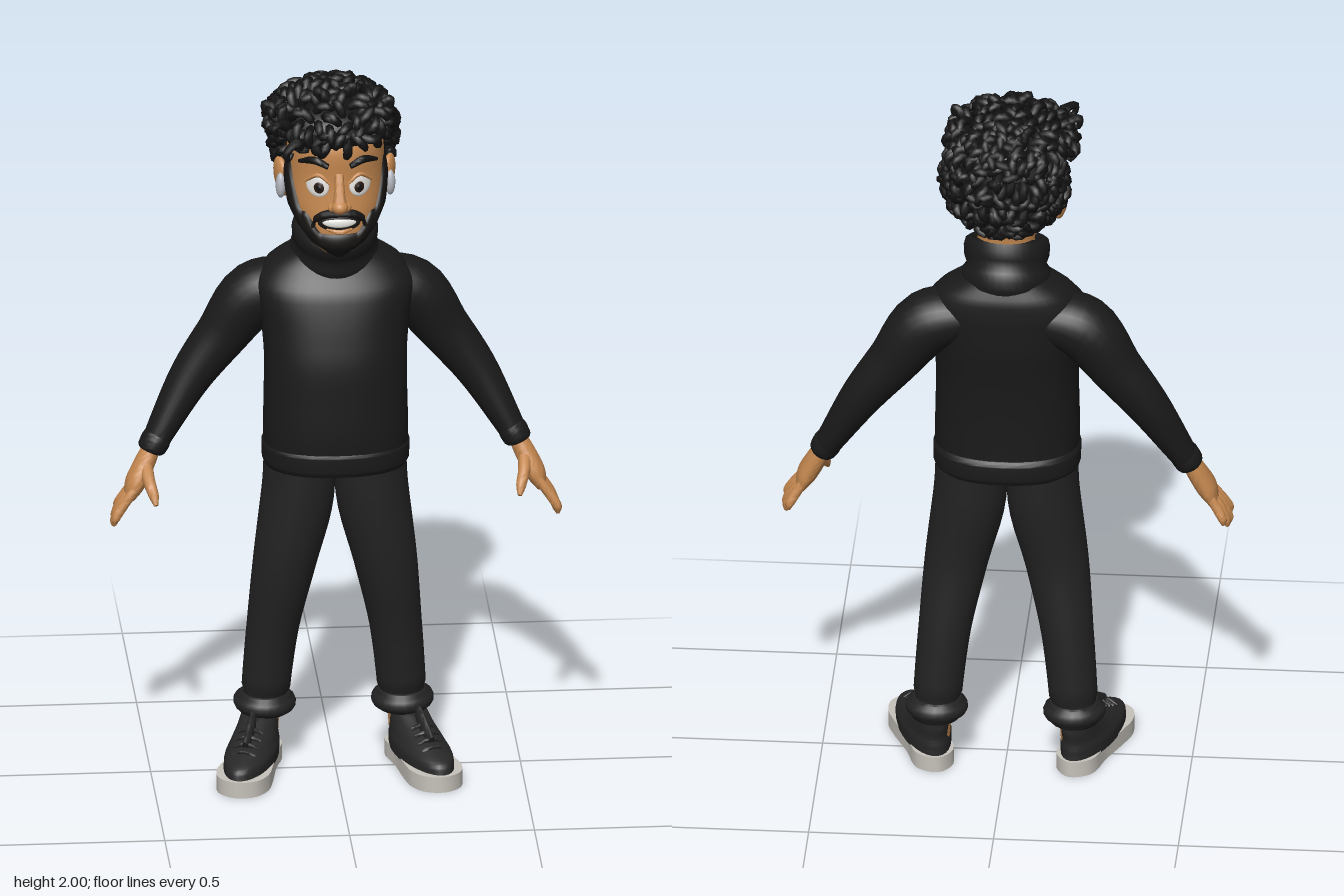
import * as THREE from 'three';
import { mergeGeometries, toCreasedNormals } from 'three/addons/utils/BufferGeometryUtils.js';

const V = (x, y, z) => new THREE.Vector3(x, y, z);
const paint = (name, color) => Object.assign(new THREE.MeshStandardMaterial({ color }), { name });

// Smooth closed loft through rows [x, y, z, radiusA, radiusB]; "flat" keeps every section horizontal.
function loft(rows, { flat = false, p = 1, n = 24, steps = 5 } = {}) {
  const path = new THREE.CatmullRomCurve3(rows.map(r => V(r[0], r[1], r[2])));
  const radii = new THREE.CatmullRomCurve3(rows.map(r => V(r[3], r[4], 0)));
  const span = path.getPoint(1).sub(path.getPoint(0)).normalize();
  const ref = Math.abs(span.z) > 0.75 ? V(1, 0, 0) : V(0, 0, 1);
  const pos = [], idx = [], m = (rows.length - 1) * steps;
  const bend = v => Math.sign(v) * Math.pow(Math.abs(v), p);
  for (let i = 0; i <= m; i++) {
    const c = path.getPoint(i / m), r = radii.getPoint(i / m);
    const t = flat ? V(0, 1, 0) : path.getTangent(i / m);
    const b = ref.clone().addScaledVector(t, -t.dot(ref)).normalize();
    const a = b.clone().cross(t);
    for (let j = 0; j < n; j++) {
      const q = j / n * Math.PI * 2;
      const v = c.clone().addScaledVector(a, r.x * bend(Math.cos(q))).addScaledVector(b, r.y * bend(Math.sin(q)));
      pos.push(v.x, v.y, v.z);
      if (i < m) {
        const k = i * n + j, l = i * n + (j + 1) % n;
        idx.push(k, l, l + n, k, l + n, k + n);
      }
    }
  }
  const e = pos.length / 3;
  for (const u of [0, 1]) pos.push(...path.getPoint(u).toArray());
  for (let j = 0; j < n; j++) {
    const l = (j + 1) % n;
    idx.push(e, l, j, e + 1, m * n + j, m * n + l);
  }
  const g = new THREE.BufferGeometry();
  g.setAttribute('position', new THREE.Float32BufferAttribute(pos, 3));
  g.setIndex(idx);
  g.computeVertexNormals();
  return g;
}

// Head cross-sections [y, centreZ, halfWidth, halfDepth]
const headRows = [[1.54, .075, .045, .05], [1.57, .062, .078, .078], [1.61, .045, .103, .1], [1.66, .03, .121, .112],
  [1.74, 0, .131, .134], [1.83, -.01, .13, .146], [1.9, -.02, .11, .125], [1.94, -.02, .06, .07]];
function headAt(y) {
  let i = 0;
  while (i < headRows.length - 2 && y > headRows[i + 1][0]) i++;
  const [a, b] = [headRows[i], headRows[i + 1]];
  const t = THREE.MathUtils.clamp((y - a[0]) / (b[0] - a[0]), 0, 1);
  return a.map((v, k) => v + (b[k] - v) * t);
}
function faceZ(x, y) {
  const [, cz, rx, rz] = headAt(y);
  return cz + rz * Math.sqrt(Math.max(0, 1 - (x / rx) ** 2));
}

export function createModel() {
  const root = new THREE.Group();
  root.name = 'manInRollneck';
  const skin = paint('skin', 0xc58850), sweater = paint('sweaterBlack', 0x1a1a1a), trouser = paint('trouserBlack', 0x232323);
  const hair = paint('hairBlack', 0x131313), shoe = paint('shoeBlack', 0x272727), sole = paint('soleGrey', 0xc6c2bb);
  const white = paint('white', 0xe8e6e2), iris = paint('irisBrown', 0x2b1a12), grey = paint('earpieceGrey', 0xb4b7be);
  const beardMat = paint('beardBlack', 0x171514);
  beardMat.side = THREE.DoubleSide;

  const add = (name, geo, mat, parent = root) => {
    const mesh = new THREE.Mesh(geo, mat);
    mesh.name = name;
    parent.add(mesh);
    return mesh;
  };
  const limb = (name, rows, mat, opt, parent) => add(name, toCreasedNormals(loft(rows, opt), 1), mat, parent);
  const ball = (name, mat, p, s) => {
    const mesh = add(name, new THREE.SphereGeometry(1, 24, 16), mat);
    mesh.position.set(...p);
    mesh.scale.set(...s);
    return mesh;
  };

  // Sweater body, hem and folded roll collar
  limb('sweaterBody', [[0, .9, -.002, .192, .143], [0, 1, .002, .196, .147], [0, 1.1, 0, .194, .148], [0, 1.2, -.006, .193, .15],
    [0, 1.3, -.022, .2, .147], [0, 1.4, -.038, .215, .134], [0, 1.46, -.055, .18, .112], [0, 1.51, -.055, .1, .09]],
  sweater, { flat: true, p: .86, n: 40 });
  limb('sweaterHem', [[0, .895, -.004, .192, .145], [0, .91, -.004, .199, .152], [0, .95, -.003, .2, .153], [0, .965, -.002, .193, .146]],
    sweater, { flat: true, p: .86, n: 40 });
  const collarProfile = [[.1, -.095], [.117, -.075], [.122, -.05], [.119, -.025], [.108, -.01], [.115, .01], [.117, .035],
    [.112, .055], [.1, .063], [.088, .055], [.08, .01]].map(q => new THREE.Vector2(...q));
  const collar = add('rollCollar', new THREE.LatheGeometry(collarProfile, 40), sweater);
  collar.position.set(0, 1.53, -.03);
  collar.rotation.x = .34;
  collar.scale.z = .98;

  // Head, neck and nose
  limb('neck', [[0, 1.48, -.045, .085, .08], [0, 1.6, -.045, .078, .068], [0, 1.72, -.05, .085, .08]], skin, { flat: true });
  limb('head', headRows.map(([y, z, a, b]) => [0, y, z, a, b]), skin, { flat: true, n: 40 });
  limb('noseBridge', [[0, 1.775, .128, .012, .012], [0, 1.73, .142, .014, .016], [0, 1.69, .153, .02, .02]], skin);
  ball('noseTip', skin, [0, 1.688, .154], [.023, .02, .026]);

  // Beard: a shell following the jaw, rising to the sideburns
  const beard = new THREE.PlaneGeometry(1, 1, 64, 14), bp = beard.attributes.position;
  const ease = THREE.MathUtils.smoothstep;
  for (let i = 0; i < bp.count; i++) {
    const phi = bp.getX(i) * 2 * 1.53, v = bp.getY(i) + .5, f = Math.abs(phi);
    const top = 1.606 + .055 * ease(f, .5, .85) + .13 * ease(f, .95, 1.3);
    const low = 1.53 + .065 * (f / 1.53) ** 2, y = low + (top - low) * v;
    const [, cz, rx, rz] = headAt(y);
    const off = .016 * Math.sqrt(Math.max(0, Math.sin(Math.PI * v))) - .003;
    bp.setXYZ(i, (rx + off) * Math.sin(phi), y, cz + (rz + off) * Math.cos(phi));
  }
  beard.computeVertexNormals();
  add('beard', beard, beardMat);

  // Features laid on the face surface
  const patch = (name, mat, cx, cy, w, h, off, depth) => {
    const g = new THREE.SphereGeometry(1, 24, 14), a = g.attributes.position;
    for (let i = 0; i < a.count; i++) {
      const x = cx + w * a.getX(i), y = cy + h * a.getY(i);
      a.setXYZ(i, x, y, faceZ(x, y) + off + depth * a.getZ(i));
    }
    g.computeVertexNormals();
    add(name, g, mat);
  };
  const strip = (name, mat, pts, off = .003) =>
    limb(name, pts.map(([x, y, r]) => [x, y, faceZ(x, y) + off, r, r]), mat, { n: 10 });
  patch('mouth', beardMat, 0, 1.634, .058, .021, .001, .004);
  patch('teeth', white, 0, 1.637, .046, .012, .004, .005);
  strip('lowerLip', skin, [[-.035, 1.62, .003], [0, 1.613, .007], [.035, 1.62, .003]], .006);
  for (const s of [-1, 1]) {
    strip('moustache', beardMat, [[0, 1.662, .008], [s * .035, 1.662, .012], [s * .062, 1.645, .01], [s * .074, 1.612, .01]]);
    patch('eyeWhite', white, s * .057, 1.738, .03, .031, 0, .009);
    patch('iris', iris, s * .055, 1.736, .015, .017, .005, .007);
    patch('pupil', hair, s * .055, 1.736, .008, .009, .009, .005);
    strip('upperLid', skin, [[s * .026, 1.75, .004], [s * .055, 1.772, .006], [s * .09, 1.748, .004]], .006);
    strip('eyebrow', hair, [[s * .03, 1.798, .008], [s * .065, 1.812, .011], [s * .105, 1.797, .005]], .004);
    ball('nostril', skin, [s * .019, 1.683, .144], [.013, .013, .015]);
    const ear = ball('ear', skin, [s * .143, 1.712, -.025], [.018, .056, .036]);
    ear.rotation.set(-.15, -s * .35, -s * .15);
    ball('earpiece', grey, [s * .148, 1.695, .0], [.014, .036, .018]);
  }

  // Curly hair: two base volumes covered in curled tufts
  let seed = 7;
  const rnd = () => (seed = (seed * 16807) % 2147483647) / 2147483647;
  const tufts = [];
  const volumes = [
    { c: V(-.012, 1.883, -.012), r: V(.155, .08, .16), count: 210, ok: q => q.y > 1.862 },
    { c: V(0, 1.808, -.088), r: V(.15, .145, .108), count: 300, ok: q => q.z < -.065 || (q.y > 1.79 && q.z < .02) },
  ];
  for (const { c, r, count, ok } of volumes) {
    ball('hairBase', hair, c.toArray(), r.toArray());
    for (let i = 0; i < count; i++) {
      const y = 1 - 2 * (i + .5) / count, w = Math.sqrt(1 - y * y), q = i * 2.39996;
      const u = V(w * Math.cos(q), y, w * Math.sin(q)), p = u.clone().multiply(r).add(c);
      if (!ok(p)) continue;
      const n = u.clone().divide(r).normalize();
      const d = V(rnd() - .5, rnd() - .7, rnd() - .75);
      d.addScaledVector(n, -d.dot(n)).normalize();
      const k = .8 + rnd() * .4;
      const at = (out, along, rad) => [...p.clone().addScaledVector(n, out * k).addScaledVector(d, along * k).toArray(), rad, rad];
      tufts.push(loft([at(-.012, -.01, .011), at(.013, .004, .013), at(.018, .026, .012), at(.005, .042, .008)], { n: 6, steps: 2 }));
    }
  }
  // Loose curls: fringe lock, crown springs and a side curl
  const locks = [[-.1, 1.875, .135, -1, -.8, .5], [-.13, 1.9, .1, -1, .2, .8], [.02, 1.95, .02, .6, .7, .2], [-.02, 1.95, .05, -.8, .7, .1],
    [-.15, 1.91, .02, -1, .5, 0], [.12, 1.92, .03, .6, .5, .2], [-.03, 1.88, .14, -.9, -.5, .3], [.05, 1.885, .125, -.8, -.2, .6]];
  for (const [x, y, z, dx, dy, dz] of locks) {
    const at = (k, lift, rad) => [x + dx * k, y + dy * k + lift, z + dz * k, rad, rad];
    tufts.push(loft([at(0, 0, .012), at(.025, .014, .012), at(.045, .008, .01), at(.04, -.014, .008), at(.026, -.008, .004)], { n: 7, steps: 3 }));
  }
  add('hairCurls', mergeGeometries(tufts), hair);

  for (const s of [-1, 1]) {
    const side = (name, rows, mat, opt) => limb(name, rows.map(([x, ...q]) => [s * x, ...q]), mat, opt);

    // Sleeve, cuff and hand
    side('sleeve', [[.11, 1.385, -.07, .07, .085], [.21, 1.353, -.078, .087, .09], [.303, 1.232, -.082, .071, .07],
      [.385, 1.12, -.074, .058, .06], [.46, .99, -.05, .042, .049], [.495, .925, -.035, .034, .042]], sweater, { n: 28 });
    side('sleeveCuff', [[.476, .962, -.042, .037, .045], [.484, .948, -.039, .04, .047], [.495, .928, -.035, .038, .045], [.498, .921, -.034, .033, .04]], sweater);
    side('palm', [[.493, .935, -.032, .024, .028], [.515, .89, -.022, .028, .037], [.54, .84, -.01, .028, .046], [.558, .8, -.007, .016, .041]], skin);
    const fingers = [[.026, .04, .6, .737], [.004, .01, .601, .722], [-.018, -.022, .597, .726], [-.037, -.052, .588, .745]];
    for (const [z0, z1, x, y] of fingers)
      side('finger', [[.545, .83, z0, .013, .012], [(.558 + x) / 2, .785, (z0 + z1) / 2, .014, .0125], [x - .002, y + .016, z1, .012, .011], [x, y, z1, .005, .005]], skin, { n: 10 });
    side('thumb', [[.512, .89, -.005, .018, .018], [.508, .862, .035, .017, .017], [.497, .83, .07, .014, .014], [.492, .808, .088, .006, .006]], skin, { n: 10 });

    // Trouser leg with turned-up hem, and ankle
    side('trouserLeg', [[.096, .94, -.02, .096, .108], [.1, .8, -.02, .099, .106], [.136, .6, -.02, .086, .09], [.166, .4, -.048, .071, .078],
      [.183, .22, -.066, .066, .07], [.187, .15, -.07, .066, .07]], trouser, { n: 28 });
    side('trouserHem', [[.186, .2, -.068, .066, .07], [.186, .192, -.068, .071, .074], [.187, .15, -.07, .071, .074], [.187, .143, -.07, .066, .069]], trouser);
    side('ankle', [[.19, .08, -.07, .04, .045], [.188, .17, -.072, .044, .048]], skin);

    // Shoe, turned outward
    const foot = new THREE.Group();
    foot.name = 'shoe';
    foot.position.set(s * .23, 0, .035);
    foot.rotation.y = s * .3;
    root.add(foot);
    const half = [[.05, -.145], [.057, -.05], [.07, .05], [.072, .11], [.05, .162]];
    const outline = [[0, -.182], ...half, [0, .184], ...half.map(([x, z]) => [-x, z]).reverse()];
    const loop = new THREE.CatmullRomCurve3(outline.map(([x, z]) => V(x, z, 0)), true).getPoints(48);
    const soleGeo = new THREE.ExtrudeGeometry(new THREE.Shape(loop.slice(0, -1).map(q => new THREE.Vector2(q.x, q.y))), { depth: .045, bevelEnabled: false });
    soleGeo.rotateX(Math.PI / 2).translate(0, .045, 0);
    add('sole', toCreasedNormals(soleGeo, .7), sole, foot);
    limb('shoeUpper', [[0, .04, 0, .066, .174], [0, .068, -.004, .067, .168], [0, .092, -.03, .06, .138], [0, .12, -.075, .052, .098],
      [0, .146, -.104, .047, .068]], shoe, { flat: true, n: 32 }, foot);
    for (let i = 0; i < 4; i++) {
      const y = .1 + i * .012, z = .09 - i * .026;
      limb('lace', [[-.034, y - .012, z, .005, .006], [0, y, z + .004, .006, .007], [.034, y - .012, z, .005, .006]], shoe, { n: 8 }, foot);
    }
    limb('tongue', [[0, .1, .07, .026, .01], [0, .135, .01, .028, .012], [0, .158, -.025, .024, .008]], shoe, {}, foot);
  }
  return root;
}
